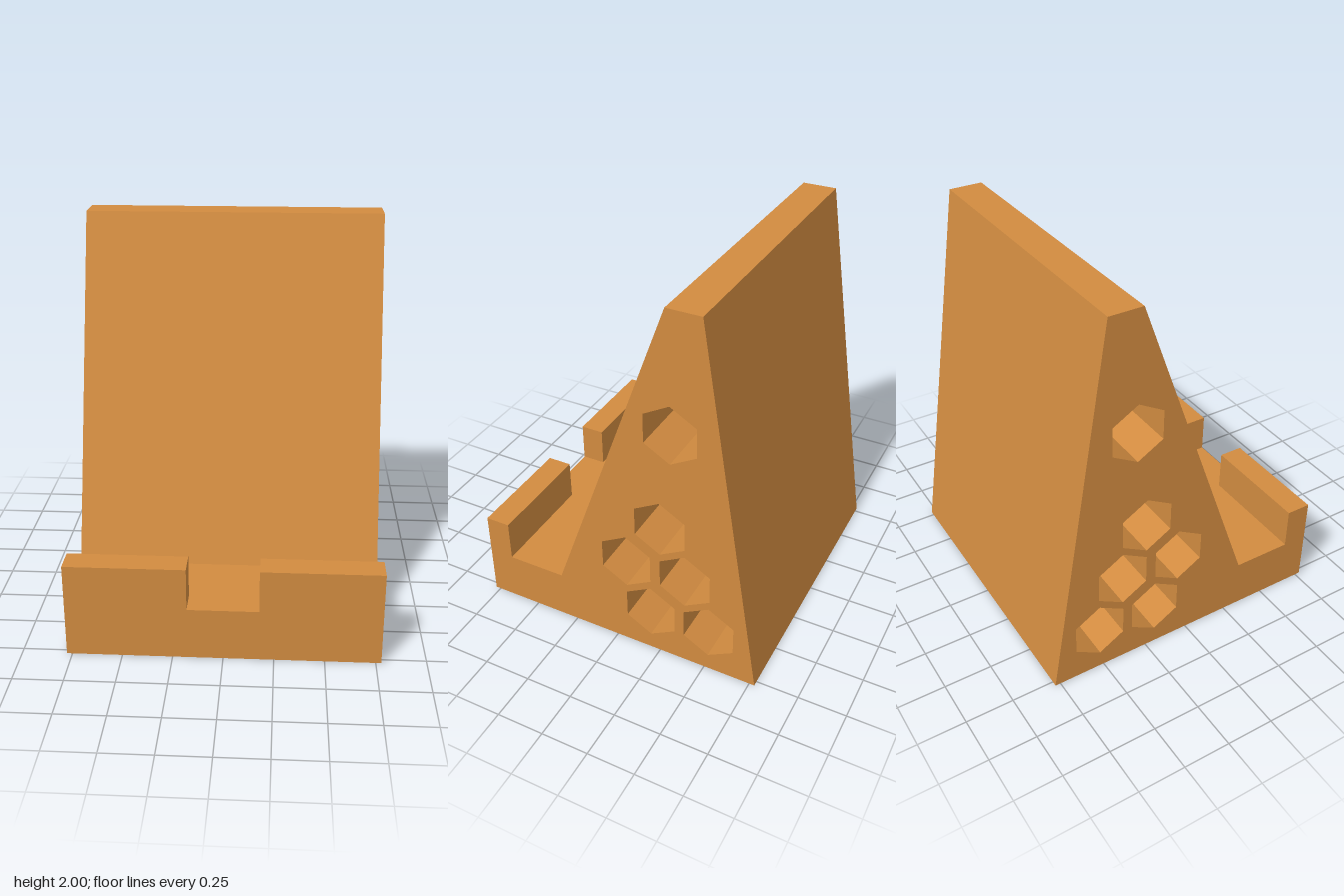
import * as THREE from 'three';

const WIDTH = 1.555, FRONT = 0.778, LEDGE = 0.27, LIP_TOP = 0.49, LIP_BACK = 0.646;

// Hexagonal hole outline with a corner at the top; profile x is -z of the model
function hexagon(z, y, r = 0.156) {
  const path = new THREE.Path();
  for (let i = 0; i < 6; i++) {
    const a = Math.PI / 2 - (i * Math.PI) / 3;
    const px = -z + r * Math.cos(a), py = y + r * Math.sin(a);
    if (i === 0) path.moveTo(px, py);
    else path.lineTo(px, py);
  }
  path.closePath();
  return path;
}

export function createModel() {
  const group = new THREE.Group();
  const wood = new THREE.MeshStandardMaterial({ color: 0xd18b40 });
  wood.name = 'warm wood';

  // Side profile as [z, y]: ledge, leaning rest, top edge and sloping back
  const profile = [[FRONT, 0], [-FRONT, 0], [-0.475, 2], [-0.298, 2], [0.332, LEDGE], [FRONT, LEDGE]];
  const shape = new THREE.Shape(profile.map(([z, y]) => new THREE.Vector2(-z, y)));

  // Honeycomb holes running through the full width
  const holes = [[-0.316, 1.365], [-0.256, 0.806], [-0.065, 0.528], [-0.389, 0.528], [-0.198, 0.247], [-0.52, 0.247]];
  shape.holes = holes.map(([z, y]) => hexagon(z, y));

  const bodyGeometry = new THREE.ExtrudeGeometry(shape, { depth: WIDTH, bevelEnabled: false });
  bodyGeometry.translate(0, 0, -WIDTH / 2).rotateY(Math.PI / 2);
  const body = new THREE.Mesh(bodyGeometry, wood);
  body.name = 'standBody';
  group.add(body);

  // Front lip in two halves, leaving the middle notch open
  const notch = 0.177, lipWidth = WIDTH / 2 - notch;
  for (const side of [-1, 1]) {
    const lip = new THREE.Mesh(new THREE.BoxGeometry(lipWidth, LIP_TOP - LEDGE, FRONT - LIP_BACK), wood);
    lip.position.set(side * (notch + lipWidth / 2), (LIP_TOP + LEDGE) / 2, (FRONT + LIP_BACK) / 2);
    lip.name = side > 0 ? 'leftLip' : 'rightLip';
    group.add(lip);
  }
  return group;
}
